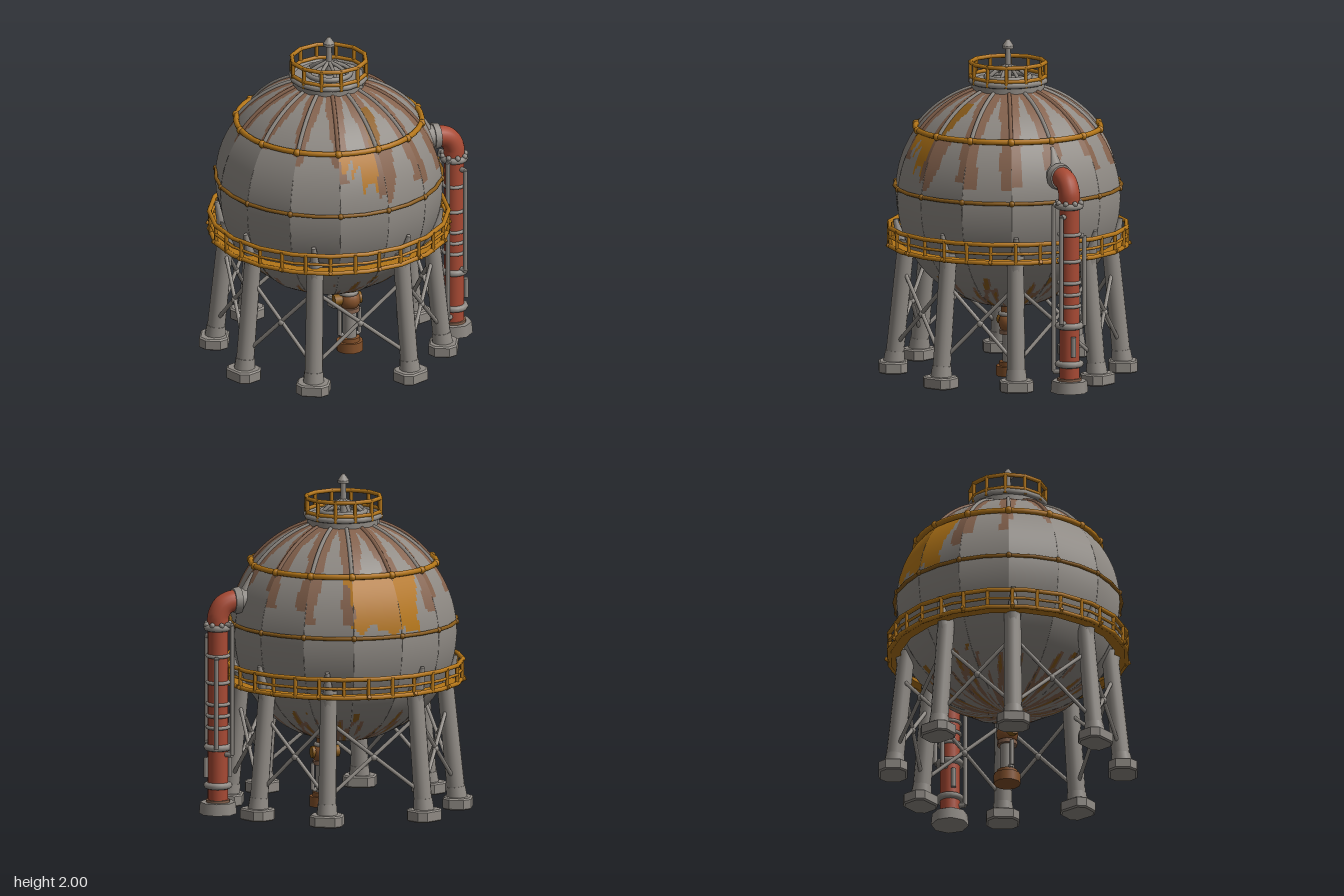
import * as THREE from 'three';

const mat = (name, color) => {
  const m = new THREE.MeshStandardMaterial({ color });
  m.name = name;
  return m;
};
const V = (x, y, z) => new THREE.Vector3(x, y, z);
// point at angle a, distance r from the tank axis; a = 0 is +x, a = PI/2 is +z
const polar = (a, r, y) => V(Math.cos(a) * r, y, Math.sin(a) * r);
const CY = 1.07, RY = 0.67, APOTHEM = 0.66, GORES = 14, STEP = (Math.PI * 2) / GORES;
const CORNER = APOTHEM / Math.cos(STEP / 2);

export function createModel() {
  const grey = mat('paintedSteel', 0x8f8a84);
  const brown = mat('rustBrown', 0x84624d);
  const amber = mat('safetyAmber', 0xb47618);
  const bronze = mat('rustyAmber', 0x8a5c1a);
  const rust = mat('deepRust', 0x84512a);
  const red = mat('pipeRed', 0xa84a34);

  const model = new THREE.Group();
  model.name = 'sphericalStorageTank';
  const tank = new THREE.Group();
  tank.name = 'tank';
  tank.position.x = -0.073;
  model.add(tank);

  const add = (parent, name, geo, material, pos) => {
    const m = new THREE.Mesh(geo, material);
    m.name = name;
    if (pos) m.position.copy(pos);
    parent.add(m);
    return m;
  };
  // tapered rod between two points
  const rod = (parent, name, a, b, r0, r1, material, sides = 8) => {
    const m = add(parent, name, new THREE.CylinderGeometry(r1, r0, a.distanceTo(b), sides), material,
      a.clone().add(b).multiplyScalar(0.5));
    m.quaternion.setFromUnitVectors(V(0, 1, 0), b.clone().sub(a).normalize());
    return m;
  };
  const hoop = (parent, name, r, y, tube, material, seg = 36, x = 0, z = 0) => {
    const g = new THREE.TorusGeometry(r, tube, 8, seg);
    g.rotateX(Math.PI / 2);
    return add(parent, name, g, material, V(x, y, z));
  };
  const disc = (parent, name, r, y0, y1, material, x = 0, z = 0, sides = 16, top = r) =>
    rod(parent, name, V(x, y0, z), V(x, y1, z), r, top, material, sides);

  // --- shell: flat gores, each cell coloured by a weathering rule ---
  const noise = (a, y) => (Math.sin(a * 9 + y * 13) + Math.sin(a * 23 - y * 17 + 1) + Math.sin(a * 41 + y * 31 + 2)) / 3;
  const paint = (g, u, p) => {
    const a = Math.atan2(p.z, p.x), y = p.y, n = noise(a, y);
    const h = Math.abs(Math.sin(g * 12.9 + 1.3)), w = Math.abs(u);
    if (y > 1.475) {
      const t = (y - 1.475) / 0.25;
      if (p.z > 0 && p.x > 0.08 && p.x < 0.16 && t < 0.7 && n > -0.4) return 2;
      // grey lobes in the plate centres, rust between them and towards the top
      return w + n * 0.14 > 0.74 - 0.62 * t * t - 0.22 * h ? 1 : 0;
    }
    if (p.z < 0 && p.x > -0.27 + n * 0.03 && p.x < 0.16 + n * 0.03 && y > 1.16 + n * 0.05) return 3;
    if (p.z > 0 && p.x > -0.12 && p.x < 0.1 && y > 1.36 + n * 0.09 - (p.x > 0 ? 0.07 : 0)) return 3;
    if (p.z > 0 && p.x > 0.09 && p.x < 0.22 && y > 1.2 + n * 0.12) return 1;
    if (y > 1.455 - 0.26 * h * h && w > 0.82 - 0.3 * h + n * 0.15) return 1;
    if (y < 0.64 && n > -0.1 + (y - 0.42) * 2.8) return n > 0.6 ? 2 : 1;
    return 0;
  };
  const cells = [0, 1, 2, 3].map(() => ({ pos: [], nor: [] }));
  const NU = 18, NV = 110;
  for (let g = 0; g < GORES; g++) {
    const mid = (g + 0.5) * STEP;
    const at = (u, lat) => {
      const r = APOTHEM * Math.cos(lat), s = r * Math.tan(STEP / 2) * u;
      return V(r * Math.cos(mid) - s * Math.sin(mid), CY + RY * Math.sin(lat), r * Math.sin(mid) + s * Math.cos(mid));
    };
    for (let i = 0; i < NU; i++) for (let j = 0; j < NV; j++) {
      const [u0, u1] = [i, i + 1].map(k => (k / NU) * 2 - 1);
      const [l0, l1] = [j, j + 1].map(k => (k / NV - 0.5) * Math.PI);
      const c = cells[paint(g, (u0 + u1) / 2, at((u0 + u1) / 2, (l0 + l1) / 2))];
      for (const [u, l] of [[u0, l0], [u0, l1], [u1, l1], [u0, l0], [u1, l1], [u1, l0]]) {
        c.pos.push(...at(u, l).toArray());
        c.nor.push(...polar(mid, Math.cos(l), Math.sin(l)).toArray());
      }
    }
  }
  [['shell', grey], ['shellRust', brown], ['shellDarkRust', bronze], ['shellAmberPatch', amber]].forEach(([name, m], k) => {
    const geo = new THREE.BufferGeometry();
    geo.setAttribute('position', new THREE.Float32BufferAttribute(cells[k].pos, 3));
    geo.setAttribute('normal', new THREE.Float32BufferAttribute(cells[k].nor, 3));
    add(tank, name, geo, m);
  });

  // --- roof ribs, plate seams and girdle rings ---
  const meridian = (a, l0, l1, r) => new THREE.TubeGeometry(new THREE.CatmullRomCurve3(
    Array.from({ length: 9 }, (_, k) => {
      const l = l0 + ((l1 - l0) * k) / 8;
      return polar(a, CORNER * Math.cos(l), CY + RY * Math.sin(l));
    })), 16, r, 6);
  for (let g = 0; g < GORES; g++) {
    const a = g * STEP;
    add(tank, 'roofRib', meridian(a, 0.62, 1.25, 0.013), g % 3 === 1 ? brown : grey);
    add(tank, 'plateSeam', meridian(a, -1.4, 0.62, 0.002), grey);
    add(tank, 'upperRingClamp', new THREE.SphereGeometry(0.023, 8, 6), amber, polar(a, 0.555, 1.475));
    add(tank, 'middleRingClamp', new THREE.SphereGeometry(0.018, 8, 6), bronze, polar(a, 0.675, 1.125));
  }
  hoop(tank, 'upperRing', 0.551, 1.475, 0.017, amber, 42);
  hoop(tank, 'middleRing', 0.673, 1.125, 0.012, bronze, 28);

  // --- walkway with railing ---
  const deck = [[0.64, 0.765], [0.715, 0.765], [0.715, 0.785], [0.64, 0.785], [0.64, 0.765]].map(p => new THREE.Vector2(...p));
  const deckGeo = new THREE.LatheGeometry(deck, 20).toNonIndexed();
  deckGeo.computeVertexNormals();
  add(tank, 'walkwayDeck', deckGeo, amber);
  [[0.775, 0.014], [0.83, 0.009], [0.885, 0.014]].forEach(([y, t]) => hoop(tank, 'walkwayRail', 0.71, y, t, amber, 20));
  for (let k = 0; k < 30; k++) {
    const a = (k / 30) * Math.PI * 2;
    rod(tank, 'walkwayPost', polar(a, 0.706, 0.765), polar(a, 0.708, 0.89), 0.012, 0.012, amber, 6);
    if (k % 2) rod(tank, 'walkwayBracket', polar(a, 0.7, 0.77), polar(a, 0.73, 0.785), 0.014, 0.012, amber, 6);
  }

  // --- legs, footings and cross bracing ---
  const angles = [23.5, 63.5, 116.5, 156.5, 203.5, 243.5, 296.5, 336.5].map(d => (d * Math.PI) / 180);
  const legAt = (a, y) => polar(a, 0.682 - 0.1 * y, y);
  const footShape = new THREE.Shape([[-0.088, -0.04], [-0.055, -0.075], [0.055, -0.075], [0.088, -0.04],
    [0.088, 0.04], [0.055, 0.075], [-0.055, 0.075], [-0.088, 0.04]].map(p => new THREE.Vector2(...p)));
  angles.forEach((a, i) => {
    rod(tank, 'leg', legAt(a, 0.05), legAt(a, 0.8), 0.054, 0.05, grey, 14);
    rod(tank, 'legCollar', legAt(a, 0.06), legAt(a, 0.13), 0.064, 0.057, grey, 12);
    rod(tank, 'legTip', legAt(a, 0.7), polar(a, 0.668, 0.92), 0.048, 0.014, grey, 8);
    const foot = new THREE.ExtrudeGeometry(footShape, { depth: 0.054, bevelSize: 0.01, bevelThickness: 0.008, bevelSegments: 1 });
    foot.rotateX(-Math.PI / 2).rotateY(-a - Math.PI / 2);
    add(tank, 'footing', foot, grey, legAt(a, 0.008));
    const b = angles[(i + 1) % 8];
    rod(tank, 'brace', legAt(a, 0.16), legAt(b, 0.62), 0.012, 0.012, grey);
    rod(tank, 'brace', legAt(b, 0.16), legAt(a, 0.62), 0.012, 0.012, grey);
    add(tank, 'braceNode', new THREE.SphereGeometry(0.022, 8, 6), grey,
      legAt(a, 0.39).add(legAt(b, 0.39)).multiplyScalar(0.5));
  });

  // --- roof platform, railing and vent ---
  disc(tank, 'roofPlatform', 0.215, 1.68, 1.76, grey, 0, 0, 14);
  hoop(tank, 'roofCurb', 0.222, 1.755, 0.018, grey, 14);
  [[1.78, 0.012], [1.862, 0.013]].forEach(([y, t]) => hoop(tank, 'roofRail', 0.224, y, t, amber, 12));
  for (let k = 0; k < 12; k++) {
    const a = (k / 12) * Math.PI * 2;
    rod(tank, 'roofPost', polar(a, 0.225, 1.74), polar(a, 0.224, 1.87), 0.012, 0.012, amber, 6);
  }
  hoop(tank, 'ventRing', 0.13, 1.775, 0.016, grey, 20);
  for (let k = 0; k < 8; k++) {
    const a = (k / 8) * Math.PI * 2;
    add(tank, 'ventCage', new THREE.TubeGeometry(new THREE.QuadraticBezierCurve3(
      polar(a, 0.13, 1.775), polar(a, 0.1, 1.815), polar(a, 0.015, 1.84)), 6, 0.012, 6), grey);
  }
  disc(tank, 'ventStem', 0.022, 1.75, 1.96, grey, 0, 0, 10, 0.015);
  disc(tank, 'ventHatRim', 0.034, 1.945, 1.962, grey, 0, 0, 10);
  disc(tank, 'ventHat', 0.034, 1.962, 2.0, grey, 0, 0, 10, 0.008);

  // --- red side pipe with elbow, flanges, clamps and guide rails ---
  const PX = 0.71;
  disc(model, 'sidePipe', 0.06, 0.06, 1.17, red, PX, 0, 20);
  add(model, 'sidePipeElbow', new THREE.TubeGeometry(new THREE.CatmullRomCurve3([
    V(PX, 1.15, 0), V(PX - 0.002, 1.19, 0), V(PX - 0.03, 1.245, 0), V(PX - 0.075, 1.27, 0), V(0.56, 1.275, 0)]), 20, 0.064, 18), red);
  rod(model, 'inletNozzle', V(0.48, 1.275, 0), V(0.6, 1.275, 0), 0.075, 0.07, grey, 14);
  rod(model, 'inletFlange', V(0.575, 1.275, 0), V(0.615, 1.275, 0), 0.082, 0.074, grey, 14);
  rod(model, 'inletGusset', V(0.53, 1.31, 0), V(0.49, 1.44, 0), 0.05, 0.01, grey, 8);
  const base = disc(model, 'sidePipeFooting', 0.112, 0, 0.07, grey, PX, 0, 8, 0.106);
  base.rotation.y = Math.PI / 8;
  disc(model, 'sidePipeBaseCollar', 0.072, 0.07, 0.085, brown, PX, 0, 14);
  [0.17, 0.4, 1.12].forEach(y => hoop(model, 'pipeCollar', 0.066, y, 0.02, grey, 16, PX));
  [0.52, 0.59, 0.66, 0.79, 0.95].forEach(y => hoop(model, 'pipeClamp', 0.063, y, 0.011, grey, 16, PX));
  [[-0.062, 0.072, 0.12, 1.12], [-0.062, -0.08, 0.36, 1.14], [0.045, 0.078, 0.42, 1.06], [0.035, -0.08, 0.4, 0.94]].forEach(([x, z, y0, y1]) => {
    rod(model, 'pipeGuideRail', V(PX + x, y0, z), V(PX + x, y1, z), 0.014, 0.014, grey);
    [y0, y1].forEach(y => rod(model, 'guideRailBracket', V(PX, y, 0), V(PX + x, y, z), 0.016, 0.016, grey));
  });
  [[0.072, 0.01], [-0.07, -0.01]].forEach(([x, z]) =>
    rod(model, 'pipeHandle', V(PX + x, 0.22, z), V(PX + x, 0.34, z), 0.015, 0.015, grey));
  for (let k = 0; k < 8; k++)
    add(model, 'collarBolt', new THREE.SphereGeometry(0.017, 8, 6), grey, polar(k * Math.PI / 4, 0.072, 1.14).add(V(PX, 0, 0)));

  // --- bottom drain valve ---
  const DX = 0.04, DZ = 0.05;
  disc(model, 'drainFooting', 0.08, 0, 0.06, rust, DX, DZ, 12);
  disc(model, 'drainFlange', 0.062, 0.06, 0.085, rust, DX, DZ, 12);
  disc(model, 'drainColumn', 0.042, 0.08, 0.28, grey, DX, DZ, 14);
  disc(model, 'drainUpperFlange', 0.06, 0.25, 0.275, brown, DX, DZ, 12);
  add(model, 'drainValve', new THREE.SphereGeometry(0.066, 14, 10), rust, V(DX, 0.32, DZ));
  disc(model, 'drainNeck', 0.045, 0.33, 0.46, rust, DX - 0.01, DZ, 14);
  rod(model, 'drainValveCap', V(DX - 0.1, 0.325, DZ), V(DX + 0.07, 0.325, DZ), 0.036, 0.036, bronze, 10);
  hoop(model, 'drainRing', 0.05, 0.37, 0.014, grey, 14, DX - 0.01, DZ);
  [-1, 1].forEach(s => {
    rod(model, 'drainSidePipe', V(DX + s * 0.062, 0.1, DZ), V(DX + s * 0.062, 0.26, DZ), 0.013, 0.013, grey);
    rod(model, 'drainSideBracket', V(DX, 0.1, DZ), V(DX + s * 0.062, 0.1, DZ), 0.013, 0.013, grey);
  });
  return model;
}
